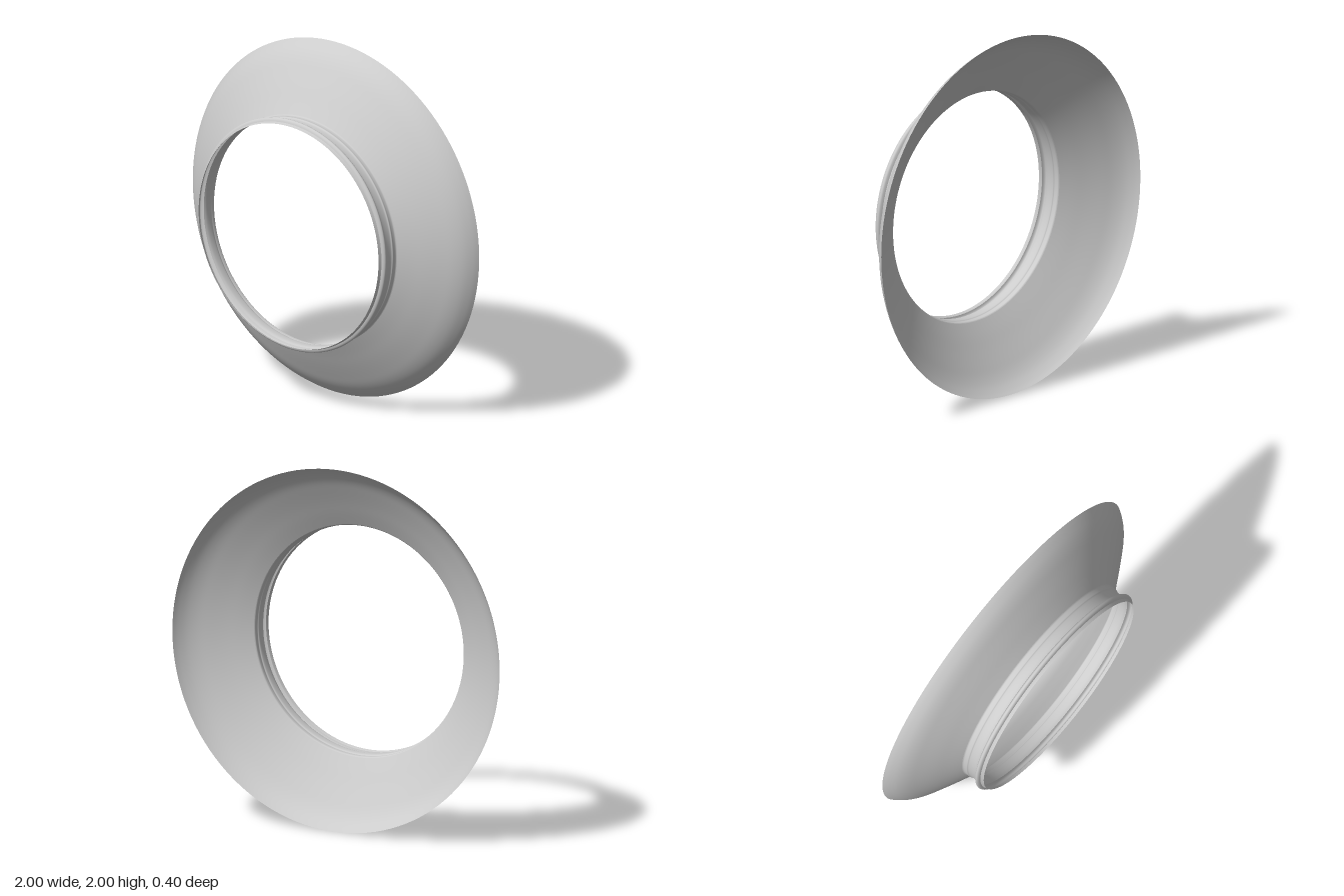
import * as THREE from 'three';

const material = new THREE.MeshStandardMaterial({ color: 0xcccccc, side: THREE.DoubleSide });

// Turns [radius, z] pairs into a thin ring around the z axis
function ring(name, profile, smoothSteps = 0) {
  let points = profile.map(([r, z]) => new THREE.Vector2(r, z));
  if (smoothSteps) points = new THREE.SplineCurve(points).getPoints(smoothSteps);
  const geometry = new THREE.LatheGeometry(points, 128);
  geometry.rotateX(Math.PI / 2);
  const mesh = new THREE.Mesh(geometry, material);
  mesh.name = name;
  mesh.position.y = 1;
  return mesh;
}

export function createModel() {
  const model = new THREE.Group();
  model.name = 'flaredRing';

  // Wide bell-shaped skirt, opening to the back
  model.add(ring('flare', [
    [1, -0.2], [0.982, -0.172], [0.95, -0.135], [0.907, -0.1],
    [0.85, -0.064], [0.78, -0.022], [0.71, 0.018], [0.642, 0.058],
  ], 28));

  // Short collar with a small step behind a shallow waist
  model.add(ring('collar', [
    [0.642, 0.058], [0.637, 0.064], [0.636, 0.078], [0.637, 0.088],
    [0.632, 0.096], [0.63, 0.115], [0.631, 0.135], [0.636, 0.15],
  ], 28));

  // Rounded bead near the front
  model.add(ring('bead', [
    [0.636, 0.15], [0.645, 0.154], [0.652, 0.159], [0.655, 0.167],
    [0.652, 0.174], [0.645, 0.179], [0.636, 0.182],
  ], 20));

  // Straight front lip
  model.add(ring('frontLip', [[0.636, 0.182], [0.633, 0.188], [0.63, 0.2]]));

  return model;
}
